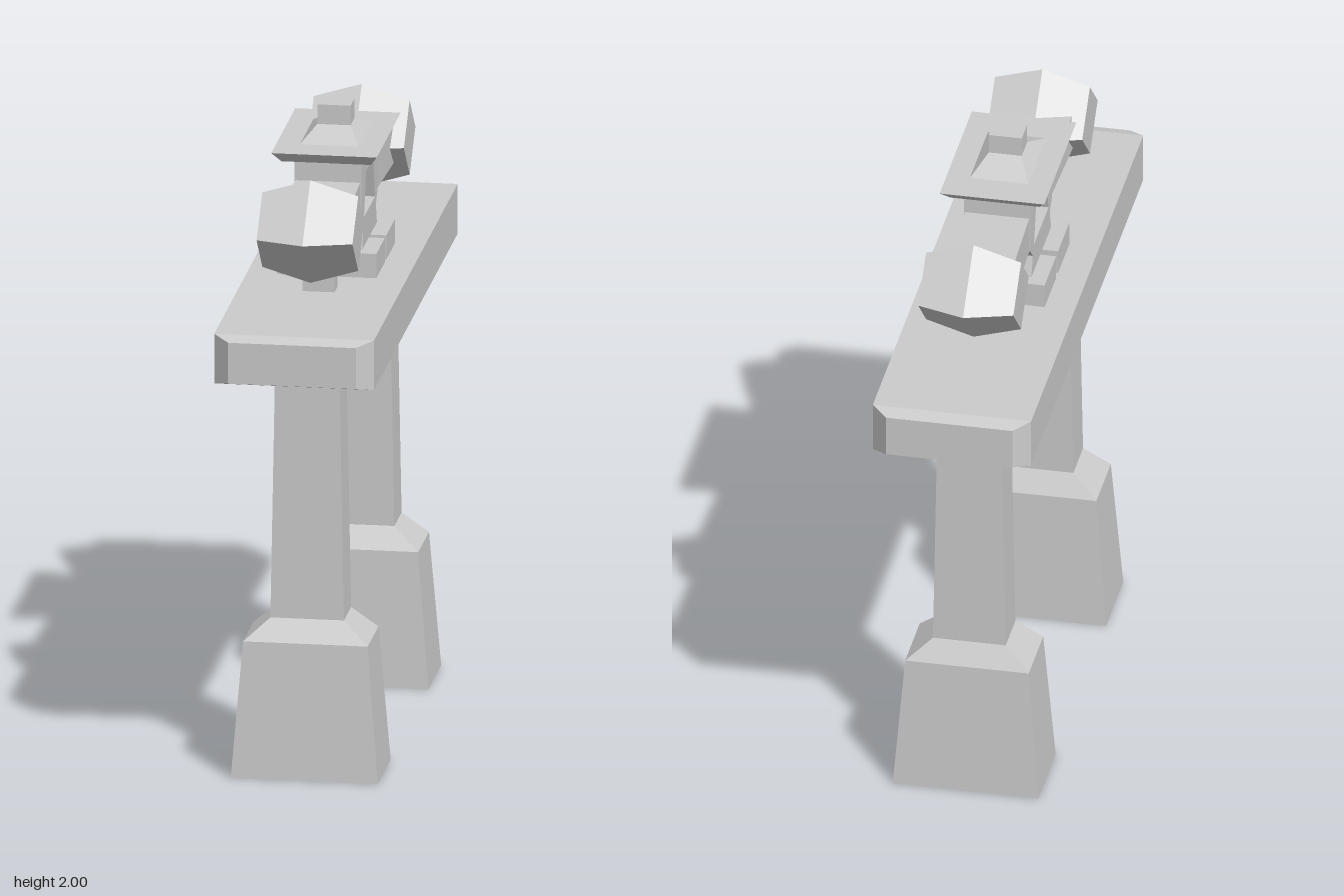
import * as THREE from 'three';

const material = new THREE.MeshStandardMaterial({
  color: 0xcccccc, flatShading: true, side: THREE.DoubleSide,
});

// Faceted solid through rectangular sections [height, halfX, halfZ] stacked along y.
function loft(sections, capped = true) {
  const ring = ([y, hx, hz]) => [[hx, y, hz], [hx, y, -hz], [-hx, y, -hz], [-hx, y, hz]];
  const rings = sections.map(ring);
  const pos = [];
  const quad = (a, b, c, d) => pos.push(...a, ...b, ...c, ...a, ...c, ...d);
  for (let s = 0; s < rings.length - 1; s++) {
    const lo = rings[s], hi = rings[s + 1];
    for (let i = 0; i < 4; i++) {
      const j = (i + 1) % 4;
      quad(lo[i], lo[j], hi[j], hi[i]);
    }
  }
  if (capped) {
    const [a, b, c, d] = rings[0];
    quad(d, c, b, a);
    quad(...rings[rings.length - 1]);
  }
  const geometry = new THREE.BufferGeometry();
  geometry.setAttribute('position', new THREE.Float32BufferAttribute(pos, 3));
  geometry.computeVertexNormals();
  return geometry;
}

export function createModel() {
  const model = new THREE.Group();
  model.name = 'gateway';

  function add(name, geometry, x = 0, y = 0, z = 0) {
    const mesh = new THREE.Mesh(geometry, material);
    mesh.name = name;
    mesh.position.set(x, y, z);
    model.add(mesh);
    return mesh;
  }

  // Long beam with bevelled ends
  add('beam', loft([
    [-0.915, 0.2, 0.066], [-0.87, 0.25, 0.08], [0.87, 0.25, 0.08], [0.915, 0.2, 0.066],
  ]).rotateX(Math.PI / 2), 0, 1.412, 0);

  for (const [side, s] of [['front', 1], ['back', -1]]) {
    // Pillar with a flared foot, open underneath
    add(side + 'Pillar', loft([
      [0, 0.23, 0.135], [0.435, 0.195, 0.113], [0.505, 0.115, 0.075], [1.34, 0.1, 0.073],
    ], false), 0, 0, s * 0.525);

    // Small post carrying the arm
    add(side + 'Post', new THREE.BoxGeometry(0.1, 0.2, 0.06), 0, 1.58, s * 0.335);

    // Arm, slightly wider at its outer end
    const arm = loft([[0.14, 0.1, 0.06], [0.47, 0.11, 0.06]]).rotateX(Math.PI / 2);
    add(side + 'Arm', arm, 0, 1.73, 0).rotation.y = s > 0 ? 0 : Math.PI;

    // Diamond block, fullest in the middle
    add(side + 'Diamond', loft([
      [-0.15, 0.085, 0.085], [0, 0.117, 0.117], [0.15, 0.085, 0.085],
    ]).rotateY(Math.PI / 4).rotateZ(Math.PI / 2), 0, 1.735, s * 0.535);

    // Plinth under the shrine
    add(side + 'Plinth', new THREE.BoxGeometry(0.31, 0.08, 0.178), 0, 1.53, s * 0.104);
  }

  // Shrine body: waisted outline with a tapered window through it
  const outline = new THREE.Shape([
    [-0.155, 1.565], [0.155, 1.565], [0.132, 1.635], [0.168, 1.672], [0.168, 1.87],
    [-0.168, 1.87], [-0.168, 1.672], [-0.132, 1.635],
  ].map(([z, y]) => new THREE.Vector2(z, y)));
  outline.holes.push(new THREE.Path([
    [-0.113, 1.665], [-0.075, 1.8], [0.075, 1.8], [0.113, 1.665],
  ].map(([z, y]) => new THREE.Vector2(z, y))));
  add('shrineBody', new THREE.ExtrudeGeometry(outline, { depth: 0.21, bevelEnabled: false })
    .translate(0, 0, -0.105).rotateY(Math.PI / 2));

  // Flared roof slab, raised hip and finial
  add('roof', loft([[1.86, 0.14, 0.205], [1.898, 0.165, 0.25]]));
  add('roofHip', loft([[1.895, 0.095, 0.147], [1.937, 0.052, 0.042]]));
  add('finial', loft([[1.93, 0.052, 0.042], [2, 0.052, 0.042]]));

  return model;
}
